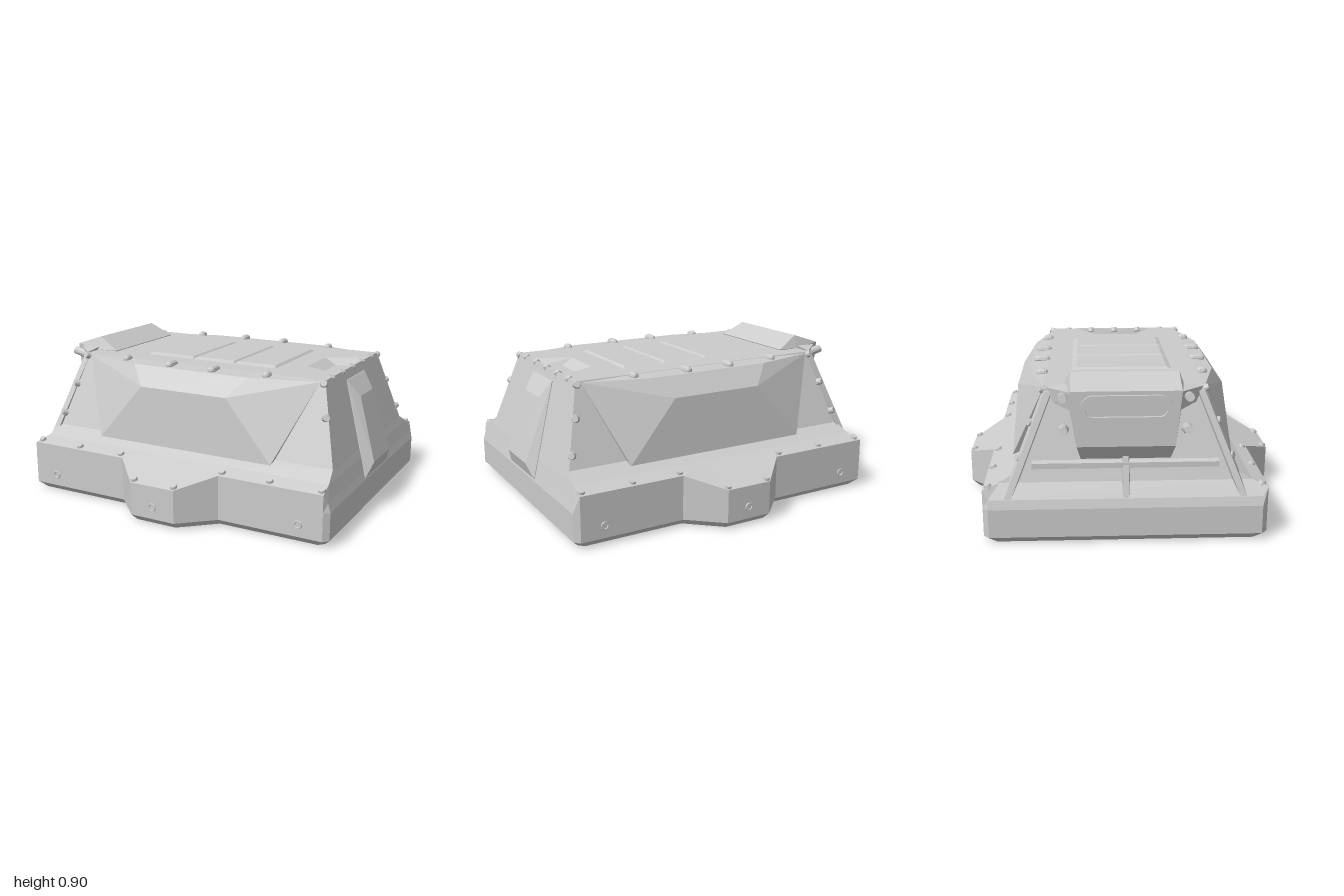
import * as THREE from 'three';
import { ConvexGeometry } from 'three/addons/geometries/ConvexGeometry.js';

const material = new THREE.MeshStandardMaterial({ color: 0xcccccc, flatShading: true });
const openMaterial = new THREE.MeshStandardMaterial({ color: 0xcccccc, flatShading: true, side: THREE.DoubleSide });

function add(parent, name, geometry, mat = material) {
  const mesh = new THREE.Mesh(geometry, mat);
  mesh.name = name;
  parent.add(mesh);
  return mesh;
}

const hull = (pts) => new ConvexGeometry(pts.map((p) => new THREE.Vector3(...p)));

// Points repeated on both sides of x = 0 or z = 0
const mirrorX = (pts) => pts.flatMap(([x, y, z]) => [[x, y, z], [-x, y, z]]);
const mirrorZ = (pts) => pts.flatMap(([x, y, z]) => [[x, y, z], [x, y, -z]]);

// Skin between closed rings of equal length, with flat facets
function loft(rings) {
  const out = [];
  for (let r = 0; r < rings.length - 1; r++) {
    const lo = rings[r], hi = rings[r + 1], n = lo.length;
    for (let i = 0; i < n; i++) {
      const j = (i + 1) % n;
      out.push(...lo[i], ...lo[j], ...hi[j], ...lo[i], ...hi[j], ...hi[i]);
    }
  }
  return out;
}

// Cap of a ring, optionally with a hole
function cap(ring, up, hole = []) {
  const flat = (pts) => pts.map((p) => new THREE.Vector2(p[0], -p[2]));
  const all = [...ring, ...hole];
  const tris = THREE.ShapeUtils.triangulateShape(flat(ring), hole.length ? [flat(hole)] : []);
  return tris.flatMap((t) => (up ? t : [...t].reverse()).flatMap((k) => all[k]));
}

function toGeometry(positions) {
  const g = new THREE.BufferGeometry();
  g.setAttribute('position', new THREE.Float32BufferAttribute(positions, 3));
  g.computeVertexNormals();
  return g;
}

// Full ring from its front half, which runs from -x to +x
const fullRing = (half) => [...half, ...[...half].reverse().map(([x, y, z]) => [x, y, -z])];

// Short domed bolt, its axis turned to the given direction
function bolt(parent, pos, dir, r = 0.024) {
  const m = add(parent, 'bolt', new THREE.CylinderGeometry(r * 0.75, r, 0.03, 12));
  m.position.set(...pos);
  m.quaternion.setFromUnitVectors(new THREE.Vector3(0, 1, 0), new THREE.Vector3(...dir).normalize());
}

export function createModel() {
  const model = new THREE.Group();
  model.name = 'armouredHousing';

  // Base outline with a tab on each long side
  const outline = [[-1, 0.735], [-0.97, 0.765], [-0.32, 0.765], [-0.15, 0.93],
    [0.13, 0.93], [0.32, 0.765], [0.94, 0.765], [0.97, 0.735]];
  const base = (y, inset) => fullRing(outline.map(([x, z]) =>
    [x - Math.sign(x) * inset * (Math.abs(x) > 0.5 ? 1 : 0.3), y, z - inset]));
  const rim = fullRing(outline.map(([x, z]) => {
    const corner = z < 0.75;
    return [corner ? x * 0.985 : x, corner ? 0.25 : 0.3 - 0.4 * (z - 0.765), z];
  }));
  // Straight sided levels of the sloping hull
  const level = (y, ex, ez) => fullRing(outline.map(([x], i) =>
    [i < 2 ? -ex : i > 5 ? ex : x, y, i === 0 || i === 7 ? ez - 0.006 : ez]));
  const roof = level(0.82, 0.8, 0.43);
  const rings = [base(0, 0.04), base(0.04, 0), base(0.2, 0), rim,
    level(0.33, 0.935, 0.68), level(0.38, 0.92, 0.59), roof];

  // Roof pocket at the +x end
  const pocketTop = [[0.57, 0.82, 0.14], [0.785, 0.82, 0.25], [0.785, 0.82, -0.25], [0.57, 0.82, -0.14]];
  const pocketFloor = [[0.64, 0.78, 0.13], [0.775, 0.78, 0.17], [0.775, 0.78, -0.17], [0.64, 0.78, -0.13]];
  add(model, 'hull', toGeometry([...loft(rings), ...cap(rings[0], false), ...cap(roof, true, pocketTop)]));
  add(model, 'roofPocket', toGeometry([...loft([pocketTop, pocketFloor]), ...cap(pocketFloor, true)]), openMaterial);

  // Raised roof panels
  for (const [x0, x1] of [[-0.42, -0.13], [-0.1, 0.15], [0.18, 0.42]]) {
    add(model, 'roofPanel', hull(mirrorZ([[x0 - 0.02, 0.815, 0.3], [x1 + 0.02, 0.815, 0.3],
      [x0, 0.832, 0.26], [x1, 0.832, 0.26]])));
  }

  // Faceted bulge on each long side
  for (const s of [1, -1]) {
    add(model, 'sideBulge', hull(mirrorX([
      [0.38, 0.81, 0.53], [0.45, 0.81, 0.495], [0.77, 0.81, 0.435], [0.28, 0.7, 0.61],
      [0.57, 0.36, 0.63], [0.57, 0.36, 0.5], [0.4, 0.819, 0.42],
    ]).map(([x, y, z]) => [x, y, z * s])));
  }

  // Tapered rib down the +x end
  add(model, 'endRib', hull(mirrorZ([[0.82, 0.765, 0.145], [0.89, 0.67, 0.105], [1, 0.3, 0.14],
    [0.97, 0.215, 0.19], [0.8, 0.765, 0.14], [0.9, 0.215, 0.19]])));

  // Frame bars on the -x end: sill, centre post, side posts
  const endX = (y) => -0.8 - 0.28 * (0.82 - y);
  const bar = (name, y0, y1, z0, z1, w) => add(model, name, hull([[y0, z0], [y1, z1]].flatMap(([y, z]) =>
    [[-w, 0.02], [w, 0.02], [-w * 0.6, -0.025], [w * 0.6, -0.025]].map(([o, d]) =>
      y0 === y1 ? [endX(y) + d, y + o, z] : [endX(y) + d, y, z + o]))));
  bar('endSill', 0.42, 0.42, -0.5, 0.5, 0.025);
  bar('endPost', 0.22, 0.5, 0, 0, 0.025);
  for (const s of [1, -1]) bar('endSidePost', 0.23, 0.8, s * 0.64, s * 0.41, 0.03);

  // Hood over the -x end
  const hood = new THREE.Group();
  hood.name = 'hood';
  model.add(hood);
  add(hood, 'hoodBody', hull(mirrorZ([[-0.8, 0.9, 0.29], [-0.66, 0.825, 0.32], [-0.98, 0.84, 0.29],
    [-0.98, 0.54, 0.26], [-0.91, 0.45, 0.24], [-0.8, 0.82, 0.32], [-0.8, 0.5, 0.24]])));

  // Oval vent frame on the hood face
  const oval = (Ctor, hz, hy) => {
    const s = new Ctor();
    s.absarc(hz - hy, 0, hy, -Math.PI / 2, Math.PI / 2, false);
    s.absarc(-(hz - hy), 0, hy, Math.PI / 2, Math.PI * 1.5, false);
    s.closePath();
    return s;
  };
  const ventShape = oval(THREE.Shape, 0.24, 0.07);
  ventShape.holes.push(oval(THREE.Path, 0.215, 0.045));
  const vent = add(hood, 'ventFrame', new THREE.ExtrudeGeometry(ventShape,
    { depth: 0.03, bevelEnabled: false, curveSegments: 8 }));
  vent.rotation.y = -Math.PI / 2;
  vent.position.set(-0.968, 0.75, 0);

  // Wings and stub pipes beside the hood
  for (const s of [1, -1]) {
    add(hood, 'hoodWing', hull([[-0.81, 0.82, 0.42], [-0.97, 0.83, 0.28], [-0.8, 0.84, 0.28],
      [-0.84, 0.74, 0.38], [-0.95, 0.72, 0.27]].map(([x, y, z]) => [x, y, z * s])));
    for (const y of [0.79, 0.61]) {
      const pipe = add(hood, 'stubPipe', new THREE.CylinderGeometry(0.024, 0.03, 0.13, 12));
      pipe.rotation.z = Math.PI / 2 - 0.2;
      pipe.position.set(-0.91, y, s * 0.33);
    }
  }

  for (const s of [1, -1]) {
    // Roof edge clips
    for (const x of [-0.48, -0.155, 0.13, 0.46]) {
      const long = Math.abs(x) < 0.3;
      const clip = add(model, 'roofClip', new THREE.CapsuleGeometry(0.024, long ? 0.05 : 0.02, 3, 10));
      clip.rotation.x = Math.PI / 2;
      clip.position.set(x, 0.818, s * (long ? 0.47 : 0.455));
    }
    // Flange and tab bolts
    for (const x of [-0.94, -0.65, -0.35, 0.33, 0.62, 0.92]) bolt(model, [x, 0.31, s * 0.735], [0, 1, s * 0.4]);
    for (const x of [-0.14, 0.12]) bolt(model, [x, 0.243, s * 0.905], [0, 1, s * 0.4]);
    // Corner edge bolts
    for (const e of [1, -1]) {
      bolt(model, [e * 0.795, 0.805, s * 0.44], [e * 0.3, 0.4, s]);
      bolt(model, [e * 0.84, 0.635, s * 0.505], [e * 0.6, 0.3, s]);
      if (e < 0 || s < 0) bolt(model, [e * 0.895, 0.455, s * 0.57], [e * 0.6, 0.3, s]);
    }
    // Screw hole rings low on the long sides
    for (const x of [-0.82, -0.01, 0.8]) {
      const ring = add(model, 'holeRing', new THREE.TorusGeometry(0.02, 0.005, 6, 16));
      ring.position.set(x, 0.11, s * (Math.abs(x) < 0.1 ? 0.93 : 0.765));
    }
  }

  // Bolts along the +x roof edge
  for (const z of [-0.325, -0.165, 0, 0.165, 0.325]) bolt(model, [0.79, 0.81, z], [0.5, 1, 0]);

  return model;
}
